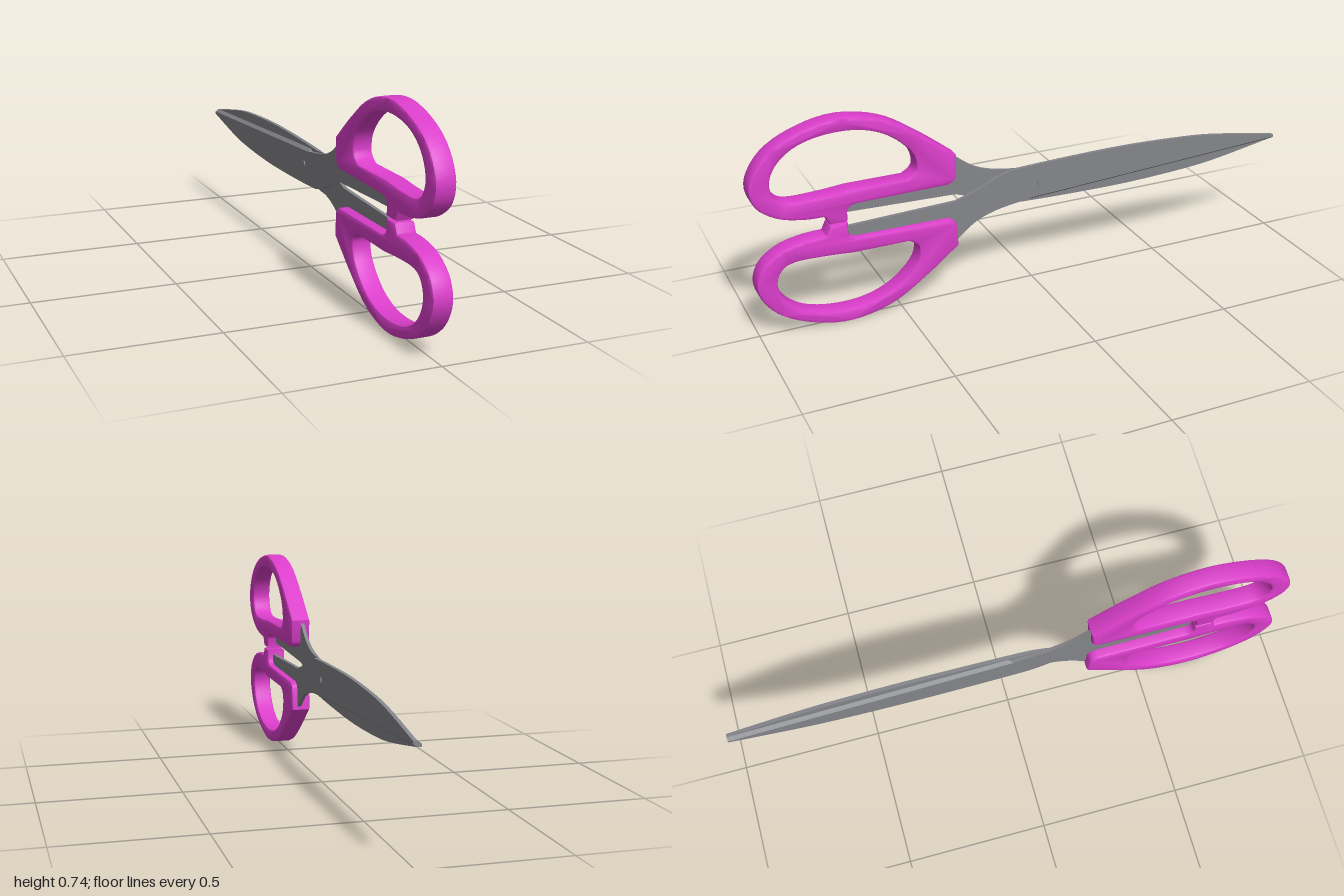
import * as THREE from 'three';
import { toCreasedNormals } from 'three/addons/utils/BufferGeometryUtils.js';

const MID = 0.371; // height of the centre line; profiles are (-z, y - MID)
const vecs = (pts) => pts.map(([x, y]) => new THREE.Vector2(x, y));

// Turn a profile extruded along +z so that its depth runs along +x
function toSide(geometry) {
  return geometry.rotateY(Math.PI / 2);
}

function handleGeometry() {
  const shape = new THREE.Shape();
  // squared mouth where the metal enters, then the round bow
  shape.moveTo(-0.295, 0.09);
  shape.lineTo(-0.29, 0.168);
  shape.splineThru(vecs([[-0.41, 0.26], [-0.54, 0.34], [-0.69, 0.371], [-0.83, 0.344], [-0.94, 0.284],
    [-0.998, 0.194], [-0.983, 0.114], [-0.915, 0.06], [-0.83, 0.038], [-0.757, 0.034]]));
  // stop that meets the other handle
  shape.lineTo(-0.742, 0.003);
  shape.lineTo(-0.68, 0.003);
  shape.lineTo(-0.68, 0.04);
  shape.quadraticCurveTo(-0.675, 0.06, -0.645, 0.062);
  shape.lineTo(-0.33, 0.065);
  shape.quadraticCurveTo(-0.3, 0.068, -0.295, 0.09);

  const hole = new THREE.Path();
  hole.moveTo(-0.67, 0.116);
  hole.lineTo(-0.47, 0.116);
  hole.splineThru(vecs([[-0.436, 0.145], [-0.45, 0.21], [-0.525, 0.28], [-0.62, 0.317], [-0.73, 0.322],
    [-0.83, 0.3], [-0.9, 0.25], [-0.93, 0.184], [-0.912, 0.13], [-0.865, 0.108], [-0.76, 0.109], [-0.67, 0.116]]));
  shape.holes.push(hole);

  const b = 0.01;
  const g = new THREE.ExtrudeGeometry(shape, {
    depth: 0.07 - 2 * b, curveSegments: 4, bevelEnabled: true,
    bevelSize: b, bevelThickness: b, bevelOffset: -b, bevelSegments: 2,
  });
  g.translate(0, 0, b - 0.035);
  return toCreasedNormals(toSide(g), 0.7);
}

function bladeGeometry() {
  const shape = new THREE.Shape();
  // inner side of the tang, sweeping across into the blade spine
  shape.moveTo(-0.7, 0.024);
  shape.lineTo(-0.29, 0.011);
  shape.splineThru(vecs([[-0.22, -0.012], [-0.11, -0.057], [0, -0.069], [0.34, -0.076],
    [0.61, -0.066], [0.77, -0.049], [1, -0.009]]));
  // blunt tip, straight cutting edge, then the flared shoulder
  shape.lineTo(1, 0);
  shape.lineTo(0, 0.052);
  shape.splineThru(vecs([[-0.14, 0.074], [-0.22, 0.104], [-0.29, 0.156]]));
  shape.lineTo(-0.35, 0.156);
  shape.lineTo(-0.35, 0.09);
  shape.lineTo(-0.7, 0.09);

  const g = new THREE.ExtrudeGeometry(shape, { depth: 0.013, curveSegments: 4, bevelEnabled: false });
  g.translate(0, 0, -0.013);
  // ground bevel: push the inner rim of the cutting edge outwards
  const p = g.attributes.position;
  for (let i = 0; i < p.count; i++) {
    const x = p.getX(i), y = p.getY(i);
    const onEdge = x > -0.001 && Math.abs(y - 0.052 * (1 - x)) < 0.002;
    if (onEdge && p.getZ(i) > -0.001) p.setY(i, y + 0.01);
  }
  return toCreasedNormals(toSide(g), 0.5);
}

export function createModel() {
  const plastic = new THREE.MeshStandardMaterial({ color: 0xdb3ecb });
  plastic.name = 'magenta plastic';
  const steel = new THREE.MeshStandardMaterial({ color: 0x84858a });
  steel.name = 'grey steel';

  const model = new THREE.Group();
  model.name = 'scissors';
  const add = (parent, name, geometry, material) => {
    const mesh = new THREE.Mesh(geometry, material);
    mesh.name = name;
    parent.add(mesh);
    return mesh;
  };

  // two identical halves, one turned half a revolution about the long axis
  const handle = handleGeometry();
  const blade = bladeGeometry();
  ['upperHandle', 'lowerHandle'].forEach((name, i) => {
    const half = new THREE.Group();
    half.name = name + 'Half';
    half.position.y = MID;
    half.rotation.z = i * Math.PI;
    add(half, name, handle, plastic);
    add(half, name + 'Blade', blade, steel);
    model.add(half);
  });

  // pivot pin through both blades
  const pin = add(model, 'pivotPin', new THREE.CylinderGeometry(0.013, 0.013, 0.033, 16), steel);
  pin.rotation.z = Math.PI / 2;
  pin.position.set(0, MID, -0.03);

  return model;
}
